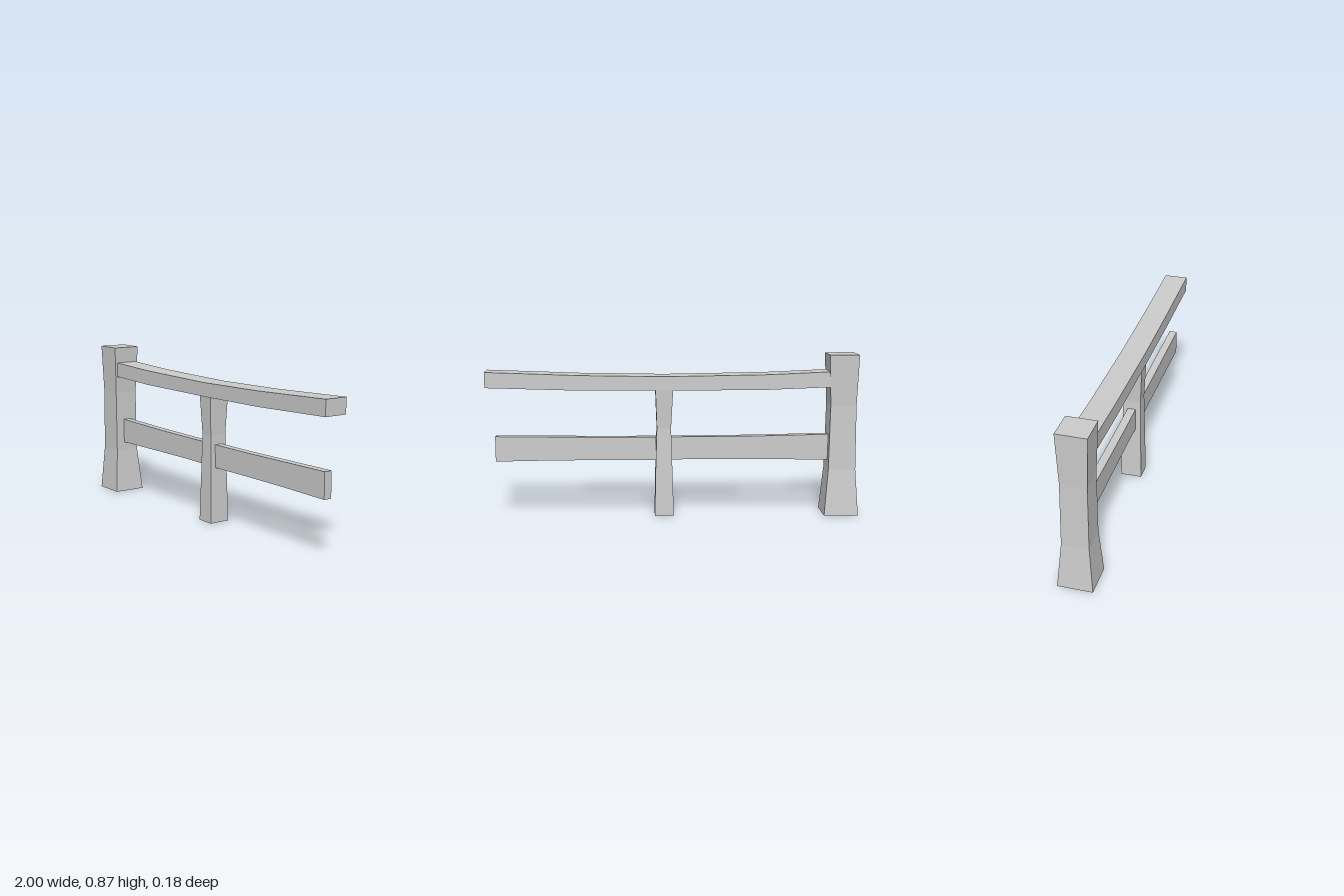
import * as THREE from 'three';

const material = new THREE.MeshStandardMaterial({ color: 0xcccccc, flatShading: true });

// Skins a closed four-sided beam through a list of rings, each ring four [x, y, z] corners
function loft(name, rings) {
  const pos = [];
  const quad = (a, b, c, d) => pos.push(...a, ...b, ...c, ...a, ...c, ...d);
  for (let i = 0; i < rings.length - 1; i++) {
    const r = rings[i], s = rings[i + 1];
    for (let k = 0; k < 4; k++) {
      const n = (k + 1) % 4;
      quad(r[k], r[n], s[n], s[k]);
    }
  }
  const a = rings[0], b = rings[rings.length - 1];
  quad(a[3], a[2], a[1], a[0]);
  quad(b[0], b[1], b[2], b[3]);
  const geometry = new THREE.BufferGeometry();
  geometry.setAttribute('position', new THREE.Float32BufferAttribute(pos, 3));
  geometry.computeVertexNormals();
  const mesh = new THREE.Mesh(geometry, material);
  mesh.name = name;
  return mesh;
}

// Upright post: sections are [y, xMin, xMax, zBack, zFront]
const post = (name, sections) => loft(name, sections.map(([y, x0, x1, z0, z1]) =>
  [[x0, y, z1], [x1, y, z1], [x1, y, z0], [x0, y, z0]]));

// Horizontal rail: sections are [x, yBottom, yTop], with a constant half depth
const rail = (name, depth, sections) => loft(name, sections.map(([x, y0, y1]) =>
  [[x, y0, depth], [x, y0, -depth], [x, y1, -depth], [x, y1, depth]]));

export function createModel() {
  const group = new THREE.Group();
  group.name = 'fence';

  // Thick end post, waisted in the middle
  group.add(post('endPost', [
    [0, -1, -0.815, -0.09, 0.092],
    [0.25, -0.983, -0.836, -0.067, 0.073],
    [0.6, -0.98, -0.841, -0.065, 0.071],
    [0.872, -0.988, -0.829, -0.077, 0.081],
  ]));

  // Thin middle post carrying the top rail
  group.add(post('middlePost', [
    [0, 0, 0.103, -0.058, 0.058],
    [0.25, 0.008, 0.098, -0.053, 0.053],
    [0.48, 0.015, 0.091, -0.047, 0.049],
    [0.686, 0.004, 0.098, -0.058, 0.058],
  ]));

  // Sagging top rail
  group.add(rail('topRail', 0.064, [
    [-0.837, 0.699, 0.782],
    [-0.5, 0.687, 0.768],
    [0.05, 0.685, 0.76],
    [0.5, 0.688, 0.768],
    [1, 0.704, 0.787],
  ]));

  // Lower boards on either side of the middle post
  group.add(rail('lowerBoardRight', 0.022, [
    [-0.84, 0.297, 0.437],
    [-0.45, 0.303, 0.43],
    [-0.15, 0.306, 0.428],
    [0.014, 0.304, 0.429],
  ]));
  group.add(rail('lowerBoardLeft', 0.022, [
    [0.094, 0.302, 0.428],
    [0.35, 0.304, 0.428],
    [0.65, 0.304, 0.432],
    [0.957, 0.3, 0.436],
  ]));

  return group;
}
